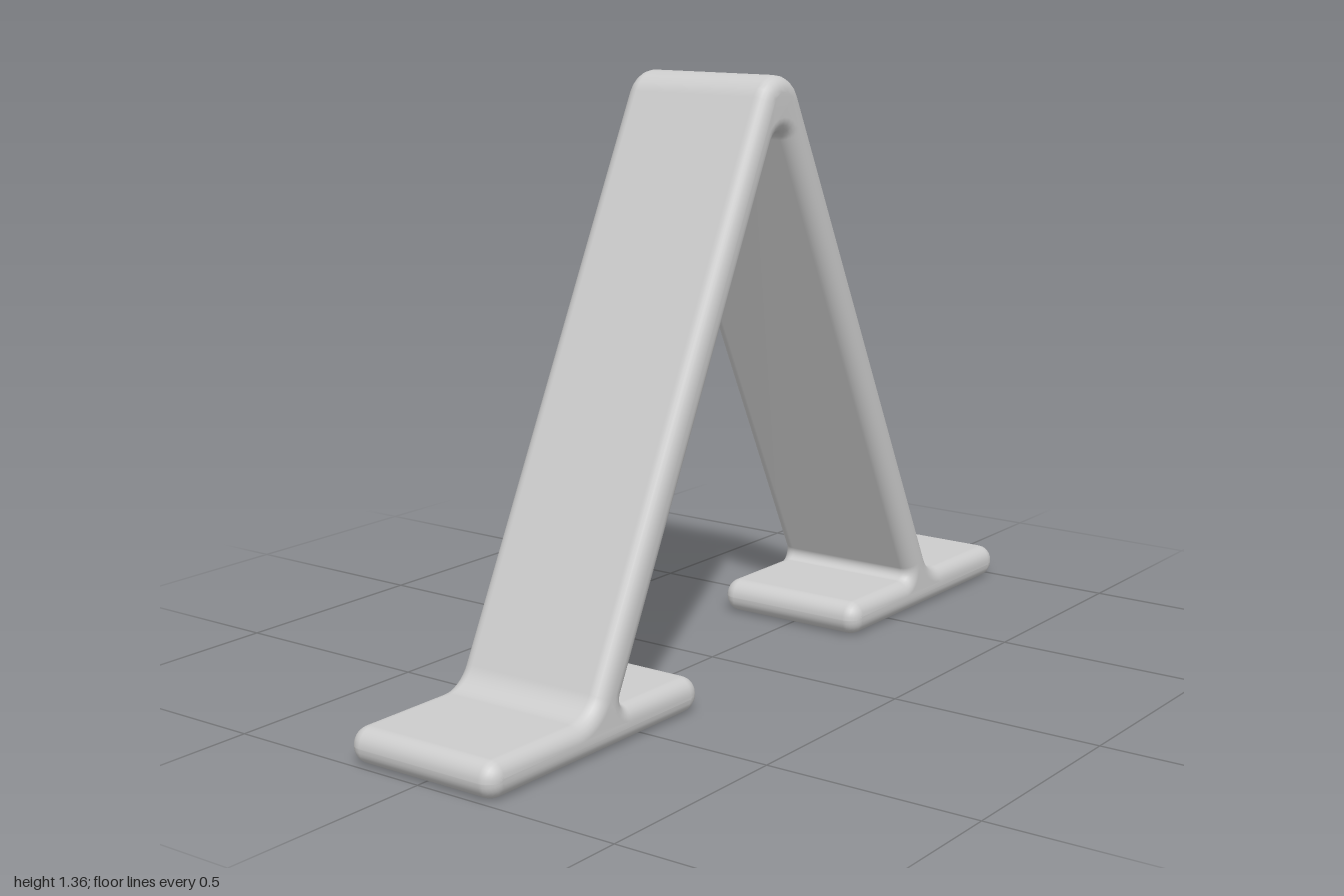
import * as THREE from 'three';
import { mergeVertices } from 'three/addons/utils/BufferGeometryUtils.js';

const DEPTH = 0.39, BEVEL = 0.034;

// Replace each corner [x, y, radius] of a closed outline with a true arc
function roundedOutline(corners, steps = 8) {
  const points = [];
  corners.forEach(([x, y, r], i) => {
    const n = corners.length;
    const p = new THREE.Vector2(x, y);
    const toPrev = new THREE.Vector2(...corners[(i + n - 1) % n].slice(0, 2)).sub(p).normalize();
    const toNext = new THREE.Vector2(...corners[(i + 1) % n].slice(0, 2)).sub(p).normalize();
    const half = Math.acos(toPrev.dot(toNext)) / 2;
    const tangent = r / Math.tan(half);
    const centre = toPrev.clone().add(toNext).normalize().multiplyScalar(r / Math.sin(half)).add(p);
    const start = p.clone().addScaledVector(toPrev, tangent).sub(centre);
    const end = p.clone().addScaledVector(toNext, tangent).sub(centre);
    const sweep = Math.atan2(start.cross(end), start.dot(end));
    for (let k = 0; k <= steps; k++) {
      const a = start.angle() + sweep * k / steps;
      points.push(new THREE.Vector2(centre.x + r * Math.cos(a), centre.y + r * Math.sin(a)));
    }
  });
  return points;
}

export function createModel() {
  const group = new THREE.Group();
  group.name = 'aFrameStand';
  const grey = new THREE.MeshStandardMaterial({ color: 0xcccccc });
  grey.name = 'light grey';

  // Right half of the outline, from the outer peak down round the foot to the inner leg
  const half = [
    [0.676, 0.08, 0.08],
    [1.0, 0.08, 0.039],
    [1.0, 0, 0.039],
    [0.31, 0, 0.039],
    [0.31, 0.08, 0.039],
    [0.588, 0.08, 0.02],
  ];
  const mirrored = half.map(([x, y, r]) => [-x, y, r]).reverse();
  const outline = roundedOutline([[0, 1.46, 0.078], ...half, [0, 1.28, 0.035], ...mirrored]);

  // Legs and feet are one continuous strip with softly rounded edges
  const extruded = new THREE.ExtrudeGeometry(new THREE.Shape(outline), {
    depth: DEPTH - 2 * BEVEL,
    bevelThickness: BEVEL,
    bevelSize: BEVEL,
    bevelOffset: -BEVEL,
    bevelSegments: 6,
  });
  extruded.translate(0, 0, BEVEL - DEPTH / 2);

  // Weld the faces for smooth shading
  extruded.deleteAttribute('uv');
  extruded.deleteAttribute('normal');
  extruded.clearGroups();
  const geometry = mergeVertices(extruded, 1e-5);
  geometry.computeVertexNormals();

  const frame = new THREE.Mesh(geometry, grey);
  frame.name = 'legsAndFeet';
  group.add(frame);
  return group;
}
